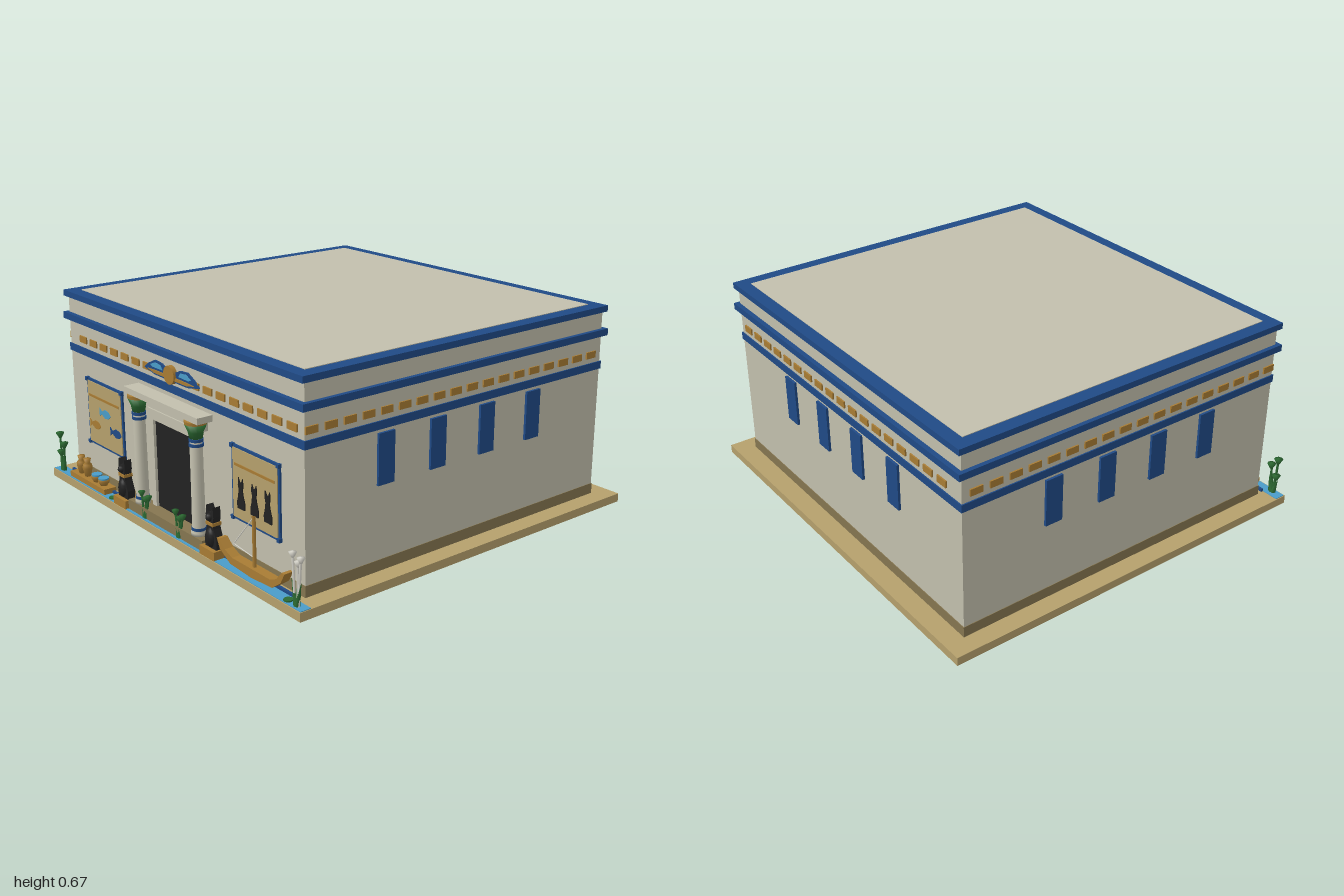
import * as THREE from 'three';

const mat = (name, color, side = THREE.FrontSide) => {
  const m = new THREE.MeshStandardMaterial({ color, side });
  m.name = name;
  return m;
};

export function createModel() {
  const root = new THREE.Group();
  root.name = 'temple';
  const stone = mat('limestone', 0xc2bfad), sand = mat('sandstone', 0xb5a06c), blue = mat('lapis blue', 0x204a86);
  const gold = mat('ochre gold', 0xa87c34), black = mat('black', 0x222222), green = mat('leaf green', 0x2c6a32);
  const sky = mat('water blue', 0x4a9cc8), white = mat('pale linen', 0xd8d6cc, THREE.DoubleSide);
  const umber = mat('plinth umber', 0x857650);

  const add = (name, geo, m, x = 0, y = 0, z = 0, parent = root) => {
    const o = new THREE.Mesh(geo, m);
    o.name = name;
    o.position.set(x, y, z);
    parent.add(o);
    return o;
  };
  // box given by centre x, bottom, top, centre z, width and depth
  const box = (name, m, x, y0, y1, z, w, d, parent) =>
    add(name, new THREE.BoxGeometry(w, y1 - y0, d), m, x, (y0 + y1) / 2, z, parent);
  const group = (name, x = 0, y = 0, z = 0, parent = root) => {
    const g = new THREE.Group();
    g.name = name;
    g.position.set(x, y, z);
    parent.add(g);
    return g;
  };
  const lathe = (name, m, pts, x, y, z, parent, n = 16) =>
    add(name, new THREE.LatheGeometry(pts.map(p => new THREE.Vector2(...p)), n), m, x, y, z, parent);
  const plate = (name, m, pts, d, x, y, z, parent) => {
    const s = new THREE.Shape(pts.map(p => new THREE.Vector2(...p)));
    return add(name, new THREE.ExtrudeGeometry(s, { depth: d, bevelEnabled: false }), m, x, y, z, parent);
  };
  const rod = (name, m, a, b, r, parent) =>
    add(name, new THREE.TubeGeometry(new THREE.LineCurve3(new THREE.Vector3(...a), new THREE.Vector3(...b)), 1, r, 6), m, 0, 0, 0, parent);

  // Ground slab, body, plinth, cornices and roof
  box('groundSlab', sand, 0, 0.002, 0.03, 0, 1.395, 1.335);
  box('walls', stone, 0, 0, 0.65, 0, 1.27, 1.2);
  box('plinth', umber, 0, 0.03, 0.065, 0, 1.274, 1.204);
  box('lowerBand', blue, 0, 0.46, 0.485, 0, 1.278, 1.208);
  box('middleCornice', blue, 0, 0.57, 0.592, 0, 1.298, 1.232);
  box('topCornice', blue, 0, 0.647, 0.667, 0, 1.29, 1.226);
  box('roof', stone, 0, 0.64, 0.669, 0, 1.2, 1.14);

  // Frieze dashes on all four sides, counted from the front right corner
  for (let i = 0; i < 18; i++) for (const s of [-1, 1]) {
    box('friezeDash', gold, 0.585 - i * 0.0665, 0.502, 0.524, s * 0.6, 0.043, 0.01);
    box('friezeDash', gold, s * 0.635, 0.502, 0.524, 0.578 - i * 0.0665, 0.01, 0.043);
  }
  // Tall windows on the sides and back
  for (const p of [0.315, 0.115, -0.085, -0.285]) {
    for (const s of [-1, 1]) box('sideWindow', blue, s * 0.637, 0.295, 0.45, p, 0.012, 0.06);
    box('backWindow', blue, p - 0.01, 0.295, 0.45, -0.602, 0.06, 0.012);
  }

  // Portal
  const portal = group('portal');
  for (const s of [-1, 1]) box('doorJamb', stone, s * 0.112, 0.03, 0.36, 0.606, 0.022, 0.02, portal);
  box('doorLintel', stone, 0, 0.357, 0.39, 0.608, 0.25, 0.026, portal);
  box('door', black, 0, 0.065, 0.357, 0.602, 0.203, 0.01, portal);
  box('portalLintel', stone, 0, 0.425, 0.445, 0.627, 0.41, 0.055, portal);
  box('portalBeam', stone, 0, 0.39, 0.425, 0.608, 0.36, 0.016, portal);
  box('step', umber, 0, 0.03, 0.065, 0.627, 0.42, 0.055, portal);
  for (const s of [-1, 1]) {
    const c = group('column', s * 0.16, 0, 0.63, portal);
    lathe('shaft', stone, [[0, 0.065], [0.025, 0.065], [0.025, 0.075], [0.021, 0.08], [0.019, 0.38], [0, 0.38]], 0, 0, 0, c);
    for (const y of [0.085, 0.35, 0.365]) add('ring', new THREE.CylinderGeometry(0.0225, 0.0225, 0.009, 16), blue, 0, y, 0, c);
    lathe('capital', green, [[0, 0.37], [0.02, 0.37], [0.024, 0.39], [0.034, 0.415], [0, 0.415]], 0, 0, 0, c);
    add('capitalRim', new THREE.CylinderGeometry(0.035, 0.034, 0.01, 16), gold, 0, 0.42, 0, c);
  }

  // Winged sun disc: blue wings with lighter upper and gold lower feathers
  const sun = group('wingedSun', 0, 0.52, 0.603);
  const disc = add('disc', new THREE.CylinderGeometry(0.029, 0.029, 0.014, 24), gold, 0, 0, 0.007, sun);
  disc.rotation.x = Math.PI / 2;
  const layers = [
    [blue, [[0.02, -0.02], [0.09, -0.02], [0.15, -0.008], [0.125, 0.01], [0.09, 0.026], [0.05, 0.023], [0.02, 0.01]], 0.006],
    [sky, [[0.045, 0.004], [0.1, 0.003], [0.112, 0.009], [0.085, 0.02], [0.055, 0.017]], 0.008],
    [gold, [[0.02, -0.014], [0.09, -0.014], [0.128, -0.006], [0.08, -0.004], [0.02, -0.004]], 0.0095],
  ];
  for (const s of [-1, 1]) {
    const w = group('wing', 0, 0, 0, sun);
    for (const [m, pts, d] of layers) plate('feathers', m, pts.map(([x, y]) => [x * s, y]), d, 0, 0, 0, w);
  }

  // Upright seated cat outline, one unit tall
  const cat = [[-0.23, 0], [0.26, 0], [0.28, 0.22], [0.16, 0.48], [0.13, 0.62], [0.17, 0.76], [0.15, 1],
    [0.05, 0.86], [-0.05, 0.86], [-0.15, 1], [-0.17, 0.76], [-0.12, 0.62], [-0.17, 0.4], [-0.25, 0.2]];
  const fish = [[-0.5, 0.19], [-0.31, 0.06], [0, 0.2], [0.31, 0.16], [0.5, 0], [0.31, -0.16], [0, -0.2], [-0.31, -0.06], [-0.5, -0.19]];
  const scaled = (pts, kx, ky) => pts.map(([x, y]) => [x * kx, y * ky]);

  // Painted wall panels
  for (const s of [-1, 1]) {
    const p = group(s < 0 ? 'fishPanel' : 'catPanel', s * 0.418, 0.275, 0.6);
    box('panelBorder', blue, 0, -0.114, 0.114, 0.003, 0.227, 0.006, p);
    box('panelField', sand, 0, -0.106, 0.106, 0.005, 0.211, 0.008, p);
    box('panelRule', gold, 0, 0.054, 0.062, 0.007, 0.19, 0.008, p);
    for (const a of [-1, 1]) for (const b of [-1, 1]) box('cornerStud', blue, a * 0.11, b * 0.11 - 0.006, b * 0.11 + 0.006, 0.006, 0.012, 0.012, p);
    if (s > 0) for (const x of [-0.065, 0, 0.063]) plate('paintedCat', black, scaled(cat, 0.07, 0.095), 0.004, x, -0.073, 0.008, p);
    else for (const [x, y, m] of [[0.005, 0.013, sky], [-0.063, -0.04, gold], [0.07, -0.037, blue]])
      plate('paintedFish', m, scaled(fish, 0.07, 0.075), 0.003, x, y, 0.008, p);
  }

  // Water strip along the front
  box('water', sky, 0, 0.028, 0.032, 0.646, 1.39, 0.036);
  box('waterEdge', blue, 0, 0.03, 0.04, 0.624, 1.27, 0.008);

  // Cat statues beside the portal
  for (const s of [-1, 1]) {
    const c = group('catStatue', s * 0.25, 0, 0.64);
    box('pedestal', gold, 0, 0.03, 0.058, 0, 0.075, 0.05, c);
    plate('catBody', black, scaled(cat, 0.115, 0.13), 0.026, 0, 0.058, -0.015, c);
    add('chest', new THREE.SphereGeometry(0.022, 12, 8), black, 0, 0.09, 0.004, c).scale.set(1, 1.5, 0.9);
    add('snout', new THREE.SphereGeometry(0.012, 10, 8), black, 0, 0.155, 0.012, c);
    box('collar', gold, 0, 0.129, 0.139, -0.002, 0.036, 0.032, c);
  }

  // Offering table with jars and bowls
  const offerings = group('offerings', 0, 0, 0.636);
  box('table', gold, -0.475, 0.03, 0.05, 0, 0.23, 0.045, offerings);
  const jar = [[0, 0], [0.01, 0], [0.017, 0.03], [0.015, 0.042], [0.009, 0.048], [0.013, 0.062], [0, 0.062]];
  for (const x of [-0.548, -0.508]) lathe('jar', gold, jar, x, 0.05, 0, offerings, 14);
  for (const x of [-0.445, -0.4]) {
    lathe('bowl', gold, [[0, 0], [0.012, 0], [0.02, 0.015], [0.016, 0.026], [0, 0.026]], x, 0.05, 0, offerings, 14);
    add('bowlRim', new THREE.CylinderGeometry(0.018, 0.018, 0.005, 14), sky, x, 0.074, 0, offerings);
  }

  // River boat with mast and rigging
  const boat = group('boat', 0.455, 0, 0.64);
  plate('hull', gold, [[-0.165, 0.105], [-0.15, 0.075], [-0.1, 0.046], [0, 0.04], [0.1, 0.046], [0.14, 0.075], [0.158, 0.108],
    [0.145, 0.108], [0.12, 0.08], [0.09, 0.068], [-0.09, 0.068], [-0.125, 0.082], [-0.153, 0.106]], 0.03, 0, 0, -0.015, boat);
  rod('mast', gold, [0, 0.06, 0], [0, 0.225, 0], 0.006, boat);
  for (const [a, b] of [[[0, 0.22], [-0.1, 0.105]], [[-0.1, 0.105], [0, 0.095]]])
    rod('rigging', white, [...a, 0], [...b, 0], 0.0015, boat);

  // Reeds: stems as offset, height and lean, with a flower on each and leaves at the foot
  const reeds = (name, x, z, pale, stems, tuft, leafHeight) => {
    const g = group(name, x, 0, z);
    for (const [x0, h, lean] of stems) {
      rod('stem', pale, [x0, 0.03, 0], [x0 + lean, h, 0], 0.004, g);
      lathe('flower', pale, [[0, -tuft], [0.004, -tuft], [tuft * 0.75, 0], [0, 0.004]], x0 + lean, h, 0, g, 8);
    }
    for (const a of [-1, 0.2, 1]) {
      const leaf = add('leaf', new THREE.ConeGeometry(0.009, leafHeight, 6), green, a * 0.012, 0.03 + leafHeight / 2, 0, g);
      leaf.rotation.z = -a * 0.25;
    }
  };
  reeds('leftReeds', -0.655, 0.65, green, [[-0.006, 0.165, -0.006], [0.006, 0.135, 0.008], [0, 0.1, -0.01]], 0.02, 0.06);
  reeds('rightReeds', 0.66, 0.65, white, [[-0.008, 0.185, -0.008], [0.004, 0.165, 0.004], [0.008, 0.18, 0.012]], 0.016, 0.08);
  for (const x of [-0.115, 0.08])
    reeds('doorReeds', x, 0.65, green, [[-0.008, 0.115, -0.01], [0.002, 0.1, 0.004], [0.006, 0.11, 0.016]], 0.016, 0.06);
  // Lily pads on the water
  for (const x of [-0.32, 0.62]) add('lilyPad', new THREE.CylinderGeometry(0.014, 0.014, 0.004, 10), green, x, 0.034, 0.648);

  return root;
}
